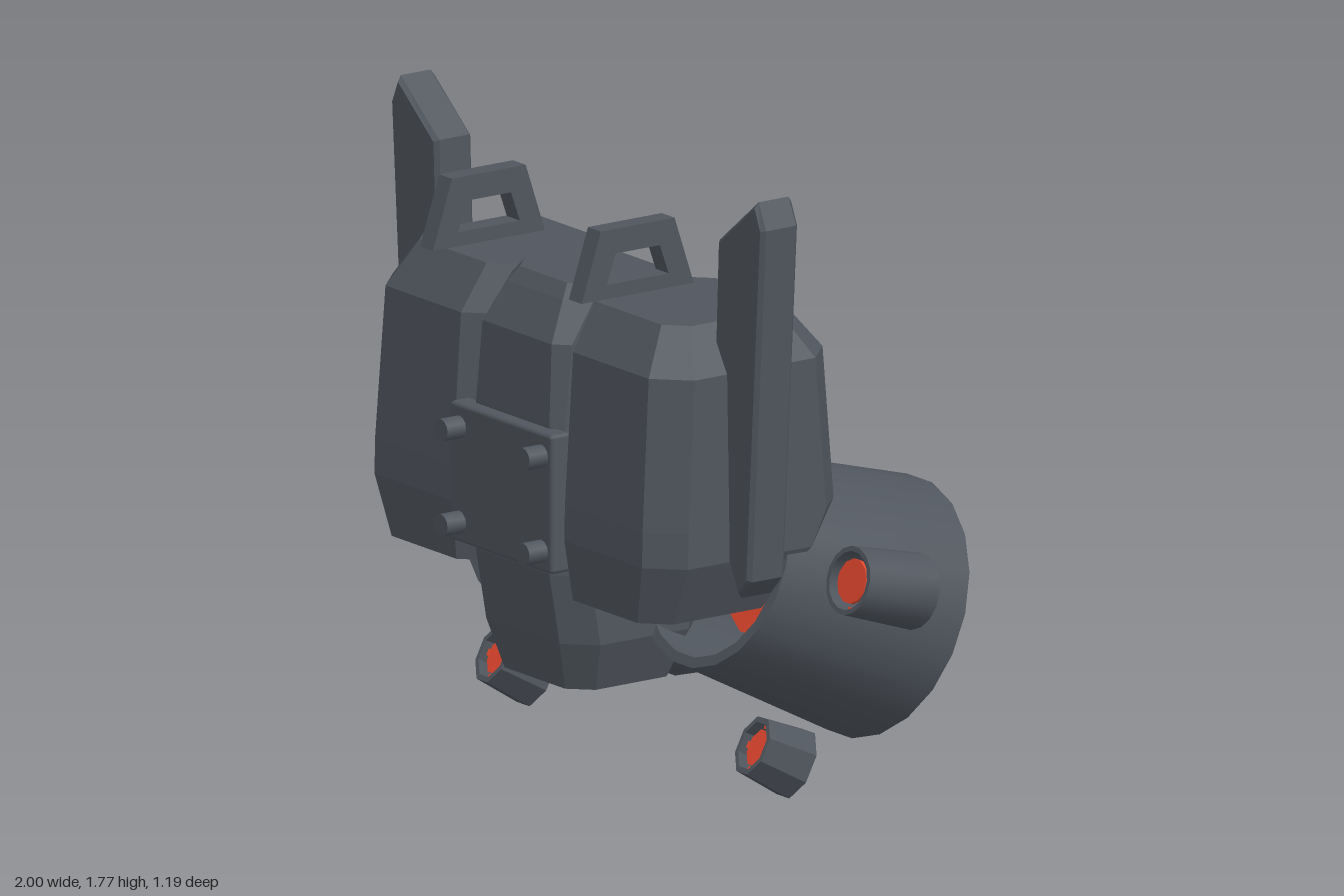
import * as THREE from 'three';
import { toCreasedNormals } from 'three/addons/utils/BufferGeometryUtils.js';
import { RoundedBoxGeometry } from 'three/addons/geometries/RoundedBoxGeometry.js';

const grey = new THREE.MeshStandardMaterial({ color: 0x50565e });
grey.name = 'gunmetal';
const red = new THREE.MeshStandardMaterial({ color: 0xe5482f });
red.name = 'glowing red';

function add(parent, name, geometry, material, x = 0, y = 0, z = 0) {
  const mesh = new THREE.Mesh(geometry, material);
  mesh.name = name;
  mesh.position.set(x, y, z);
  parent.add(mesh);
  return mesh;
}

// Faceted body through chamfered rectangles; each level is [y, x0, x1, z0, z1, chamfer]
function loft(levels) {
  const pos = [], idx = [], n = 8;
  for (const [y, x0, x1, z0, z1, c] of levels) {
    const ring = [[x1, z0 + c], [x1 - c, z0], [x0 + c, z0], [x0, z0 + c],
      [x0, z1 - c], [x0 + c, z1], [x1 - c, z1], [x1, z1 - c]];
    for (const [x, z] of ring) pos.push(x, y, z);
  }
  const top = (levels.length - 1) * n;
  for (let l = 0; l < top; l += n) {
    for (let i = 0; i < n; i++) {
      const a = l + i, b = l + (i + 1) % n;
      idx.push(a, b, b + n, a, b + n, a + n);
    }
  }
  for (let i = 1; i < n - 1; i++) {
    idx.push(0, i + 1, i, top, top + i, top + i + 1);
  }
  let geo = new THREE.BufferGeometry();
  geo.setAttribute('position', new THREE.Float32BufferAttribute(pos, 3));
  geo.setIndex(idx);
  geo = geo.toNonIndexed();
  geo.computeVertexNormals();
  return geo;
}

// Flat outline with thickness centred on its plane
function slab(points, depth, bevel = 0, hole = null) {
  const shape = new THREE.Shape(points.map(p => new THREE.Vector2(...p)));
  if (hole) shape.holes.push(new THREE.Path(hole.map(p => new THREE.Vector2(...p))));
  const geo = new THREE.ExtrudeGeometry(shape, {
    depth: depth - 2 * bevel, bevelEnabled: bevel > 0,
    bevelThickness: bevel, bevelSize: bevel, bevelOffset: -bevel, bevelSegments: 1,
  });
  return geo.translate(0, 0, bevel - depth / 2);
}

// Open tapered tube with a glowing disc and strips; origin at the rear rim, local +y runs forward
function thruster(parent, name, o) {
  const g = new THREE.Group();
  g.name = name;
  const { rear, front, length: L, wall, sides } = o;
  const profile = [[rear - wall, 0], [rear, 0], [front, L], [front - wall, L], [rear - wall, 0]]
    .map(p => new THREE.Vector2(...p));
  const spin = Math.PI / sides;
  const tube = new THREE.LatheGeometry(profile, sides, spin);
  add(g, 'thrusterShell', toCreasedNormals(tube, 0.6), grey);
  add(g, 'thrusterGlow', new THREE.CylinderGeometry(o.disc, o.disc, 0.01, o.discSides, 1, false,
    Math.PI / o.discSides), red, 0, o.discAt, 0);
  // Strips along the inner wall
  for (let i = 0; i < 4; i++) {
    const pivot = new THREE.Group();
    pivot.name = 'glowStrip';
    pivot.rotation.y = i * Math.PI / 2;
    const r = (rear + front) / 2 * o.flat - wall - 0.006;
    const strip = add(pivot, 'strip', new THREE.BoxGeometry(o.strip, L * 0.76, 0.009), red, 0, L / 2, r);
    strip.rotation.x = -Math.atan((rear - front) / L);
    g.add(pivot);
  }
  g.position.set(o.x, o.y, o.z);
  g.rotation.x = Math.PI / 2 - o.tilt;
  g.scale.x = o.squash || 1;
  parent.add(g);
}

export function createModel() {
  const model = new THREE.Group();
  model.name = 'jetpack';

  // Central column
  add(model, 'centreColumn', loft([
    [0.28, -0.2, 0.2, 0.06, 0.42, 0.06],
    [0.42, -0.25, 0.25, 0.0, 0.46, 0.08],
    [0.62, -0.25, 0.25, -0.03, 0.495, 0.08],
    [1.04, -0.2, 0.2, -0.03, 0.495, 0.03],
    [1.27, -0.2, 0.2, -0.02, 0.48, 0.04],
    [1.38, -0.19, 0.19, 0.03, 0.42, 0.06],
    [1.42, -0.17, 0.17, 0.08, 0.39, 0.06],
  ]), grey);

  // Front plate with four bolts
  add(model, 'frontPlate', new RoundedBoxGeometry(0.475, 0.395, 0.07, 1, 0.012), grey, 0, 0.838, 0.502);
  for (const x of [-0.19, 0.19]) {
    for (const y of [0.7, 0.97]) {
      const bolt = add(model, 'bolt', new THREE.CylinderGeometry(0.032, 0.032, 0.08, 12), grey, x, y, 0.56);
      bolt.rotation.x = Math.PI / 2;
    }
  }

  // Rear plate and its slit light
  add(model, 'rearPlate', slab([[-0.17, 0.7], [0.17, 0.7], [0.2, 1.27], [0.18, 1.32],
    [-0.18, 1.32], [-0.2, 1.27]], 0.1, 0.012), grey, 0, 0, -0.083);
  add(model, 'rearSlitLight', new THREE.BoxGeometry(0.13, 0.03, 0.02), red, 0, 0.85, -0.135);

  for (const s of [-1, 1]) {
    // Main pod
    const span = (a, b) => (s > 0 ? [a, b] : [-b, -a]);
    add(model, 'pod', loft([
      [0.57, ...span(0.2, 0.64), 0.05, 0.488, 0.07],
      [0.74, ...span(0.17, 0.71), -0.09, 0.51, 0.09],
      [0.84, ...span(0.17, 0.71), -0.14, 0.508, 0.09],
      [1.27, ...span(0.17, 0.7), -0.11, 0.48, 0.09],
      [1.4, ...span(0.19, 0.62), -0.01, 0.4, 0.06],
    ]), grey);
    const lamp = add(model, 'podLight', new THREE.BoxGeometry(0.17, 0.075, 0.016), red, s * 0.41, 1.05, -0.126);
    lamp.rotation.x = 0.07;

    // Upright fin
    add(model, 'fin', slab([[0.865, 1.71], [0.83, 1.785], [0.65, 1.64], [0.62, 0.9],
      [0.75, 0.645], [0.80, 0.70]].map(([x, y]) => [s * x, y]), 0.125, 0.012), grey, 0, 0, 0.217);

    // Carry handle
    const handle = add(model, 'handle', slab(
      [[-0.535, 1.44], [-0.155, 1.44], [-0.22, 1.635], [-0.47, 1.635]], 0.06, 0,
      [[-0.45, 1.48], [-0.42, 1.565], [-0.27, 1.565], [-0.24, 1.48]]), grey, s * 0.345);
    handle.rotation.y = Math.PI / 2;

    // Main, side and lower thrusters
    thruster(model, 'mainThruster', {
      x: s * 0.41, y: 0.435, z: -0.45, tilt: 0.38, rear: 0.372, front: 0.308, length: 0.6,
      wall: 0.03, sides: 20, disc: 0.18, discSides: 12, discAt: 0.4, strip: 0.055, flat: 1,
    });
    thruster(model, 'sideThruster', {
      x: s * 0.893, y: 0.618, z: -0.218, tilt: 0.286, rear: 0.107, front: 0.096, length: 0.238,
      wall: 0.014, sides: 16, disc: 0.063, discSides: 12, discAt: 0.22, strip: 0.018, flat: 1,
    });
    thruster(model, 'lowerThruster', {
      x: s * 0.602, y: 0.097, z: -0.025, tilt: 0.472, rear: 0.104, front: 0.087, length: 0.165,
      wall: 0.016, sides: 8, disc: 0.055, discSides: 8, discAt: 0.14, strip: 0.02, flat: 0.92, squash: 0.75,
    });
  }
  return model;
}
